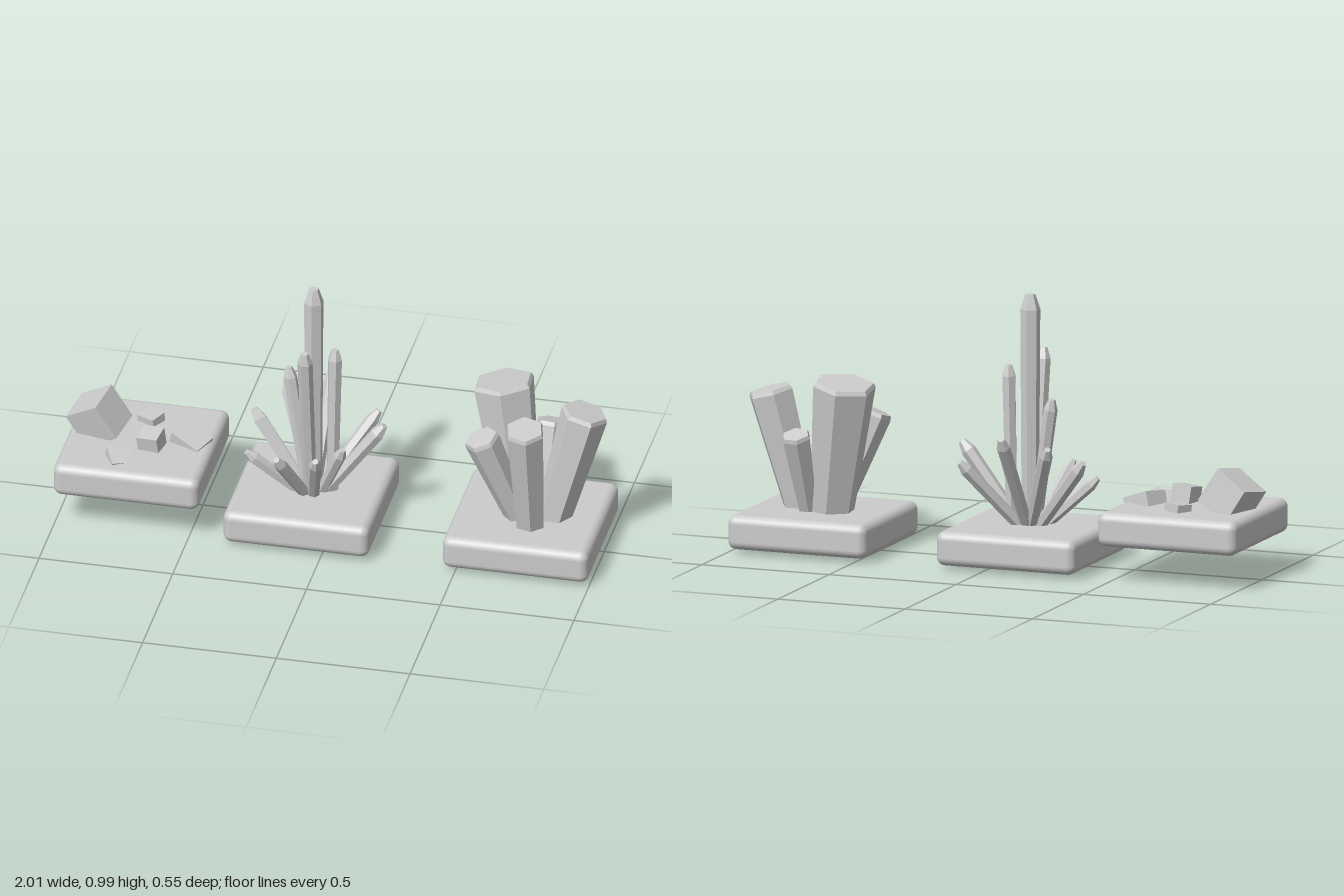
import * as THREE from 'three';
import { RoundedBoxGeometry } from 'three/addons/geometries/RoundedBoxGeometry.js';

const smooth = new THREE.MeshStandardMaterial({ color: 0xcccccc });
const faceted = new THREE.MeshStandardMaterial({ color: 0xcccccc, flatShading: true });
const UP = new THREE.Vector3(0, 1, 0);

function slab(name, x, y) {
  const mesh = new THREE.Mesh(new RoundedBoxGeometry(0.545, 0.127, 0.545, 5, 0.032), smooth);
  mesh.name = name;
  mesh.position.set(x, y, 0);
  return mesh;
}

// Six-sided prism running from one point to another, closed by a bevelled tip
function crystal(name, from, to, rBottom, rTop, capHeight, capRatio, twist) {
  const a = new THREE.Vector3(...from);
  const axis = new THREE.Vector3(...to).sub(a);
  const len = axis.length();
  const profile = [
    [0, 0], [rBottom, 0], [rTop, len - capHeight], [rTop * capRatio, len], [0, len],
  ].map(([r, y]) => new THREE.Vector2(r, y));
  const geo = new THREE.LatheGeometry(profile, 6);
  geo.rotateY(twist);
  const mesh = new THREE.Mesh(geo, faceted);
  mesh.name = name;
  mesh.position.copy(a);
  mesh.quaternion.setFromUnitVectors(UP, axis.normalize());
  return mesh;
}

function cubeCluster() {
  const g = new THREE.Group();
  g.name = 'cubeCluster';
  g.add(slab('cubeSlab', -0.73, 0.19));
  // position, size, rotation
  const cubes = [
    [[-0.895, 0.305, -0.03], [0.145, 0.145, 0.145], [0.15, -0.2, 0.57]],
    [[-0.72, 0.25, -0.125], [0.075, 0.065, 0.065], [0.1, -0.5, 0.1]],
    [[-0.68, 0.275, 0.055], [0.08, 0.08, 0.08], [0.15, -0.15, 0.1]],
    [[-0.55, 0.25, -0.015], [0.12, 0.07, 0.1], [0.1, -0.4, -0.3]],
    [[-0.78, 0.24, 0.155], [0.085, 0.07, 0.075], [0.5, 0.45, -0.35]],
  ];
  for (const [p, s, r] of cubes) {
    const cube = new THREE.Mesh(new THREE.BoxGeometry(...s), faceted);
    cube.name = 'cubeCrystal';
    cube.position.set(...p);
    cube.rotation.set(...r);
    g.add(cube);
  }
  return g;
}

function needleCluster() {
  const g = new THREE.Group();
  g.name = 'needleCluster';
  g.add(slab('needleSlab', -0.095, 0.073));
  // root, tip, radius
  const needles = [
    [[-0.08, 0.07, 0.025], [-0.08, 0.985, 0.025], 0.037],
    [[-0.09, 0.06, 0.03], [-0.09, 0.77, 0.132], 0.028],
    [[-0.015, 0.06, 0.01], [-0.005, 0.722, 0.0], 0.027],
    [[-0.095, 0.06, 0.015], [-0.185, 0.61, -0.025], 0.026],
    [[-0.085, 0.06, 0.03], [-0.07, 0.49, -0.235], 0.026],
    [[-0.14, 0.01, 0.06], [0.12, 0.38, -0.17], 0.025],
    [[-0.09, 0.06, 0.02], [0.18, 0.425, 0.005], 0.028],
    [[-0.08, 0.06, 0.0], [0.045, 0.36, 0.1], 0.024],
    [[-0.085, 0.06, 0.01], [-0.03, 0.37, 0.22], 0.024],
    [[-0.08, 0.06, 0.01], [-0.18, 0.345, 0.2], 0.024],
    [[-0.06, 0.06, 0.01], [-0.315, 0.305, 0.1], 0.024],
    [[-0.07, 0.06, 0.02], [-0.325, 0.39, -0.065], 0.027],
    [[-0.07, 0.06, 0.03], [-0.23, 0.455, -0.18], 0.025],
  ];
  needles.forEach(([a, b, r], i) => {
    g.add(crystal('needleCrystal', a, b, r * 0.85, r, r * 1.5, 0.5, i * 0.7));
  });
  return g;
}

function prismCluster() {
  const g = new THREE.Group();
  g.name = 'prismCluster';
  g.add(slab('prismSlab', 0.725, 0.073));
  // root, tip, radius at root, radius at tip, twist
  const prisms = [
    [[0.745, 0.1, 0.09], [0.745, 0.59, 0.185], 0.055, 0.075, 0.25],
    [[0.805, 0.1, 0.012], [0.925, 0.57, -0.02], 0.065, 0.088, 0.5],
    [[0.68, 0.1, -0.03], [0.605, 0.625, -0.085], 0.08, 0.118, 0.1],
    [[0.755, 0.1, -0.05], [0.768, 0.435, -0.16], 0.035, 0.056, 0.4],
    [[0.7, 0.1, 0.04], [0.565, 0.49, 0.115], 0.045, 0.066, 0.8],
  ];
  for (const [a, b, r0, r1, twist] of prisms) {
    g.add(crystal('prismCrystal', a, b, r0, r1, 0.015, 0.92, twist));
  }
  return g;
}

export function createModel() {
  const model = new THREE.Group();
  model.name = 'crystalSet';
  model.add(cubeCluster(), needleCluster(), prismCluster());
  return model;
}
